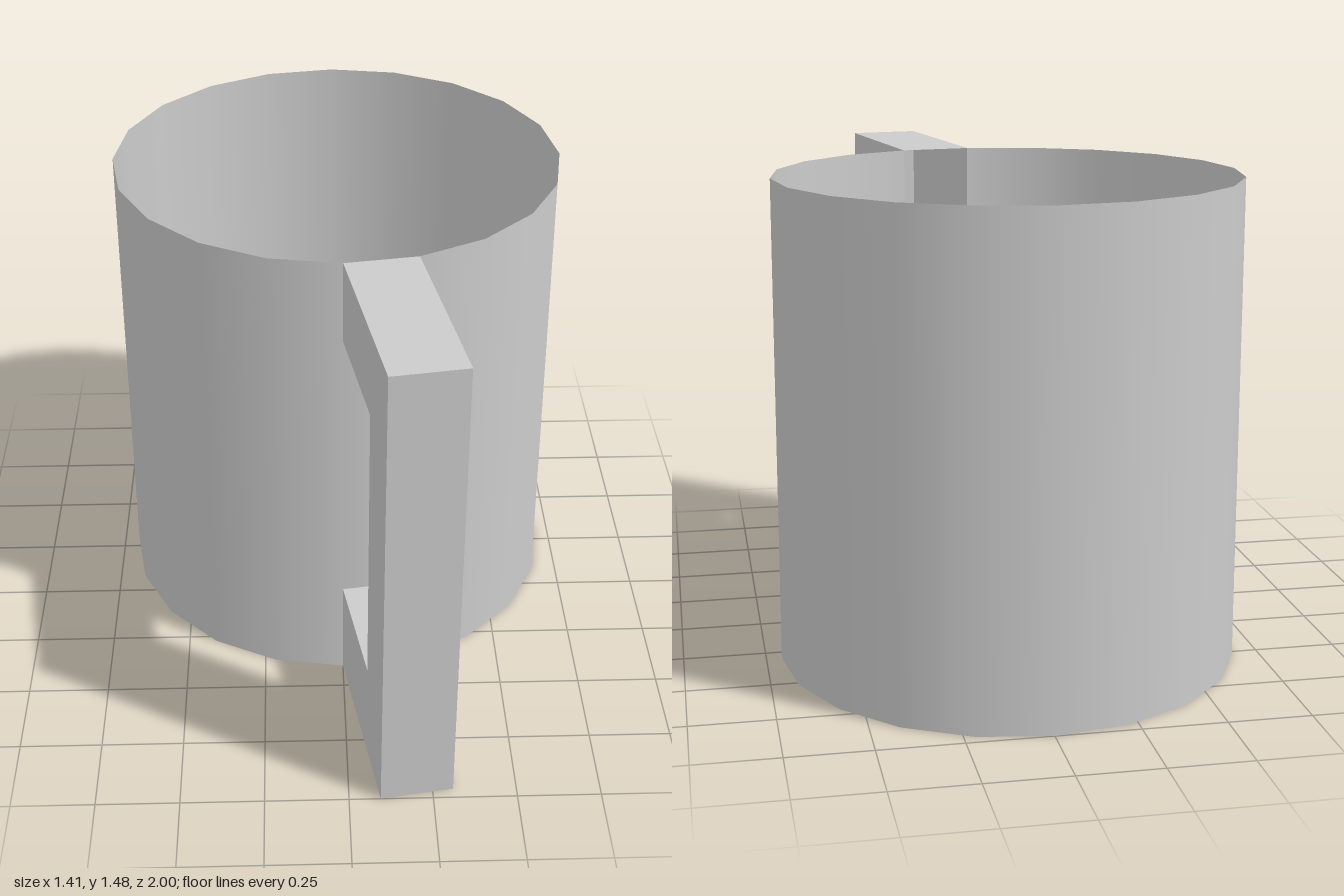
import * as THREE from 'three';

const SIDES = 20, STEP = (Math.PI * 2) / SIDES;
const H = 1.475, R_BASE = 0.703, R_TOP = 0.697;
const LOW = 0.315, HIGH = 1.22; // inner edges of the handle opening
const radiusAt = (y) => R_BASE + (R_TOP - R_BASE) * (y / H);

const material = new THREE.MeshStandardMaterial({ color: 0xcccccc, side: THREE.DoubleSide });

function addMesh(parent, name, geometry) {
  const mesh = new THREE.Mesh(geometry, material);
  mesh.name = name;
  parent.add(mesh);
  return mesh;
}

// Open band of the mug wall between two heights
function wallBand(y0, y1, firstSide, sides) {
  return new THREE.CylinderGeometry(radiusAt(y1), radiusAt(y0), y1 - y0, sides, 1, true,
    firstSide * STEP, sides * STEP).translate(0, (y0 + y1) / 2, 0);
}

// Hollow C-shaped handle, open where it joins the wall
function handleGeometry() {
  const wall = (y) => radiusAt(y) * Math.cos(STEP / 2);
  const grip = 1.08, outer = 1.295;
  const width = 2 * R_BASE * Math.sin(STEP / 2);
  const profile = new THREE.Shape([
    [wall(0), 0], [outer, 0], [outer, H], [wall(H), H],
    [wall(HIGH), HIGH], [grip, HIGH], [grip, LOW], [wall(LOW), LOW],
  ].map(([x, y]) => new THREE.Vector2(x, y)));
  const geometry = new THREE.ExtrudeGeometry(profile, { depth: width, bevelEnabled: false });

  // Drop the end faces that lie on the wall, so both arms open into the mug
  const p = geometry.attributes.position;
  const keep = [];
  for (let i = 0; i < p.count; i += 3) {
    const onWall = [i, i + 1, i + 2].every((k) => p.getX(k) < 0.75);
    if (!onWall) keep.push(i, i + 1, i + 2);
  }
  geometry.setIndex(keep);
  geometry.clearGroups();
  return geometry.translate(0, 0, -width / 2).rotateY(-Math.PI / 2);
}

export function createModel() {
  const mug = new THREE.Group();
  mug.name = 'mug';

  const body = new THREE.Group();
  body.name = 'body';
  // All sides but the one carrying the handle
  addMesh(body, 'wall', wallBand(0, H, 1, SIDES - 1));
  // Wall panel between the two handle arms
  addMesh(body, 'wallBehindHandle', wallBand(LOW, HIGH, 0, 1));
  // Flat base, facing down
  addMesh(body, 'base', new THREE.CircleGeometry(R_BASE, SIDES).rotateX(Math.PI / 2));

  // Handle, square to the first side of the wall
  addMesh(body, 'handle', handleGeometry()).rotation.y = STEP / 2;

  body.position.z = -0.297;
  mug.add(body);
  return mug;
}
